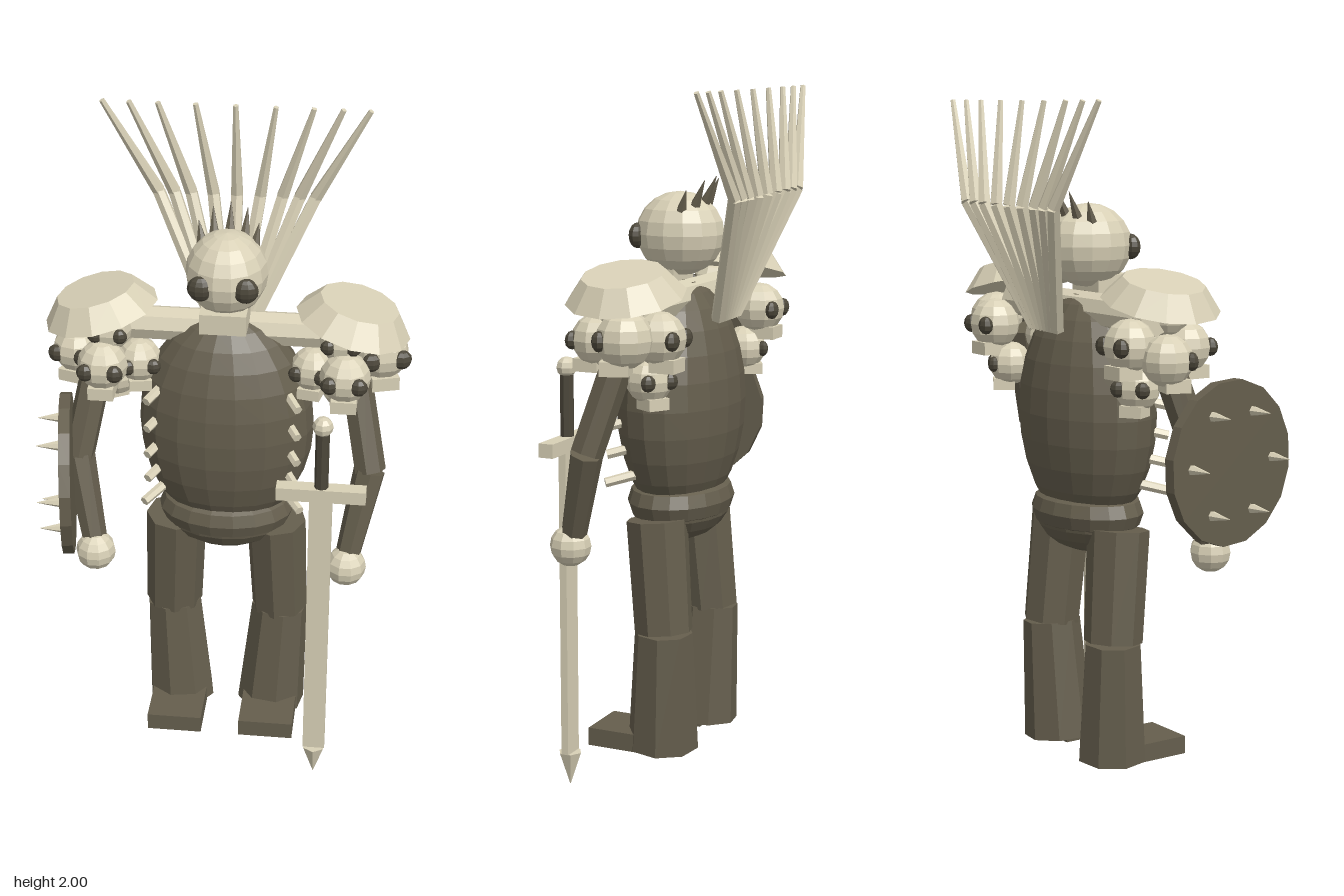
import * as THREE from 'three';

const mat = (name, color) => {
  const m = new THREE.MeshStandardMaterial({ color, flatShading: true });
  m.name = name;
  return m;
};
const V = (x, y, z) => new THREE.Vector3(x, y, z);

export function createModel() {
  const model = new THREE.Group();
  const bone = mat('bone', 0xd8d0b6);
  const hide = mat('dark hide', 0x655e4d);
  const shade = mat('socket dark', 0x4c473a);

  const add = (name, geo, material, x = 0, y = 0, z = 0, parent = model) => {
    const mesh = new THREE.Mesh(geo, material);
    mesh.name = name;
    mesh.position.set(x, y, z);
    parent.add(mesh);
    return mesh;
  };
  const ball = (name, material, p, r, w = 12, h = 10, parent = model) => {
    const geo = new THREE.SphereGeometry(1, w, h);
    geo.scale(...(Array.isArray(r) ? r : [r, r, r]));
    return add(name, geo, material, ...p, parent);
  };
  const box = (name, material, size, p, parent = model) =>
    add(name, new THREE.BoxGeometry(...size), material, ...p, parent);
  // Tapered rod from point a (radius ra) to point b (radius rb)
  const rod = (name, material, a, b, ra, rb, sides = 6, parent = model) => {
    const dir = b.clone().sub(a);
    const mid = a.clone().add(b).multiplyScalar(0.5);
    const mesh = add(name, new THREE.CylinderGeometry(rb, ra, dir.length(), sides), material, mid.x, mid.y, mid.z, parent);
    mesh.quaternion.setFromUnitVectors(V(0, 1, 0), dir.normalize());
    return mesh;
  };

  // Torso, pelvis and belt
  ball('torso', hide, [0, 1.11, -0.065], [0.255, 0.35, 0.17], 18, 14);
  ball('pelvis', hide, [0, 0.81, -0.065], [0.185, 0.11, 0.135], 16, 10);
  const beltGeo = new THREE.TorusGeometry(0.15, 0.051, 8, 18);
  beltGeo.rotateX(Math.PI / 2);
  beltGeo.scale(1, 1, 0.72);
  add('belt', beltGeo, hide, 0, 0.823, -0.065);

  // Collar bar
  rod('collarBar', bone, V(-0.36, 1.41, -0.08), V(0.36, 1.41, -0.08), 0.05, 0.05, 8);

  // Head
  ball('head', bone, [0, 1.59, -0.06], [0.117, 0.12, 0.13], 14, 10);
  box('jaw', bone, [0.132, 0.06, 0.12], [0, 1.477, -0.01]);
  for (const s of [-1, 1]) ball('eye', shade, [s * 0.063, 1.585, 0.043], [0.037, 0.037, 0.026], 10, 8);
  for (let i = -2; i <= 2; i++) {
    const a = i * 0.52, c = Math.cos(a), s = Math.sin(a);
    rod('headSpike', hide,
      V(s * 0.085, 1.64 + c * 0.025, -0.06 - c * 0.07),
      V(s * 0.098, 1.68 + c * 0.075, -0.06 - c * 0.112), 0.018, 0.001, 6);
  }

  // Fan of bent quills behind the head
  for (const x of [-0.378, -0.302, -0.22, -0.113, 0, 0.113, 0.22, 0.302, 0.378]) {
    const knee = V(x * 0.6, 1.71, -0.325);
    rod('quillBase', bone, V(x * 0.15, 1.36, -0.205), knee, 0.022, 0.019, 6);
    rod('quillTip', bone, knee, V(x, 1.997, -0.28), 0.019, 0.008, 6);
  }

  // Small skull with eyes and jaw, turned about y
  const skull = (x, y, z, r, yaw) => {
    const g = new THREE.Group();
    g.name = 'shoulderSkull';
    g.position.set(x, y, z);
    g.rotation.y = yaw;
    model.add(g);
    ball('cranium', bone, [0, 0, 0], r, 10, 8, g);
    box('skullJaw', bone, [r, r * 0.5, r], [0, -r * 0.95, r * 0.3], g);
    for (const s of [-1, 1]) ball('skullEye', shade, [s * r * 0.56, 0, r * 0.78], [r * 0.36, r * 0.36, r * 0.26], 8, 6, g);
  };

  for (const s of [-1, 1]) {
    // Shoulder skulls and tilted pad
    skull(s * 0.345, 1.325, 0.03, 0.073, 0);
    skull(s * 0.44, s > 0 ? 1.345 : 1.305, -0.1, s > 0 ? 0.08 : 0.072, s * 0.3);
    skull(s * 0.33, 1.415, -0.02, 0.063, 0);
    skull(s * 0.25, 1.31, -0.04, 0.065, -s * 0.2);
    skull(s * 0.33, 1.22, -0.12, 0.065, s * 2.6);
    skull(s * 0.35, 1.34, -0.16, 0.075, Math.PI);
    const pad = add('shoulderPad', new THREE.CylinderGeometry(0.115, 0.167, 0.066, 12), bone, s * 0.367, 1.481, -0.064);
    pad.rotation.z = -s * 0.25;

    // Arm
    const elbow = V(s * 0.425, 1.02, 0.025);
    rod('upperArm', hide, V(s * 0.365, 1.32, -0.06), elbow, 0.046, 0.047, 7);
    rod('forearm', hide, elbow, V(s * 0.37, 0.75, 0.1), 0.047, 0.036, 7);
    ball('hand', bone, [s * 0.37, 0.74, 0.106], 0.059, 10, 8);

    // Leg and foot
    const knee = V(s * 0.163, 0.46, -0.085);
    rod('thigh', hide, V(s * 0.15, 0.785, -0.058), knee, 0.09, 0.085, 8);
    rod('shin', hide, knee, V(s * 0.141, 0.107, -0.073), 0.085, 0.104, 8);
    box('foot', hide, [0.165, 0.053, 0.23], [s * 0.141, 0.127, 0.015]);

    // Rib pegs
    for (const y of [1.235, 1.145, 1.06, 0.98, 0.9])
      rod('ribPeg', bone, V(s * 0.165, y + 0.02, -0.02), V(s * (y < 0.95 ? 0.228 : 0.217), y - 0.005, 0.068), 0.015, 0.014, 6);
  }

  // Shield; its local +y points outward
  const shield = new THREE.Group();
  shield.name = 'shield';
  shield.position.set(-0.444, 1.005, 0.11);
  shield.quaternion.setFromUnitVectors(V(0, 1, 0), V(-1, 0, 0.15).normalize());
  model.add(shield);
  add('shieldDisc', new THREE.CylinderGeometry(0.235, 0.235, 0.032, 16), hide, 0, 0, 0, shield);
  const outward = V(-1, 0, 0.15).normalize(), along = V(0.15, 0, 1).normalize();
  for (let i = 0; i < 6; i++) {
    const a = i * Math.PI / 3;
    const foot = V(-0.444, 1.005 + Math.sin(a) * 0.16, 0.11)
      .addScaledVector(along, Math.cos(a) * 0.16).addScaledVector(outward, 0.012);
    rod('shieldSpike', bone, foot, foot.clone().addScaledVector(outward, 0.07), 0.016, 0.001, 6);
  }

  // Sword
  const sx = 0.294, sz = 0.154;
  box('blade', bone, [0.066, 0.92, 0.022], [sx, 0.56, sz]);
  rod('bladeTip', bone, V(sx, 0.1, sz), V(sx, 0.002, sz), 0.035, 0.001, 6);
  box('crossguard', bone, [0.256, 0.04, 0.044], [sx, 1.015, sz]);
  rod('grip', shade, V(sx, 1.03, sz), V(sx, 1.22, sz), 0.02, 0.02, 8);
  ball('pommel', bone, [sx, 1.232, sz], 0.03, 8, 6);

  return model;
}
